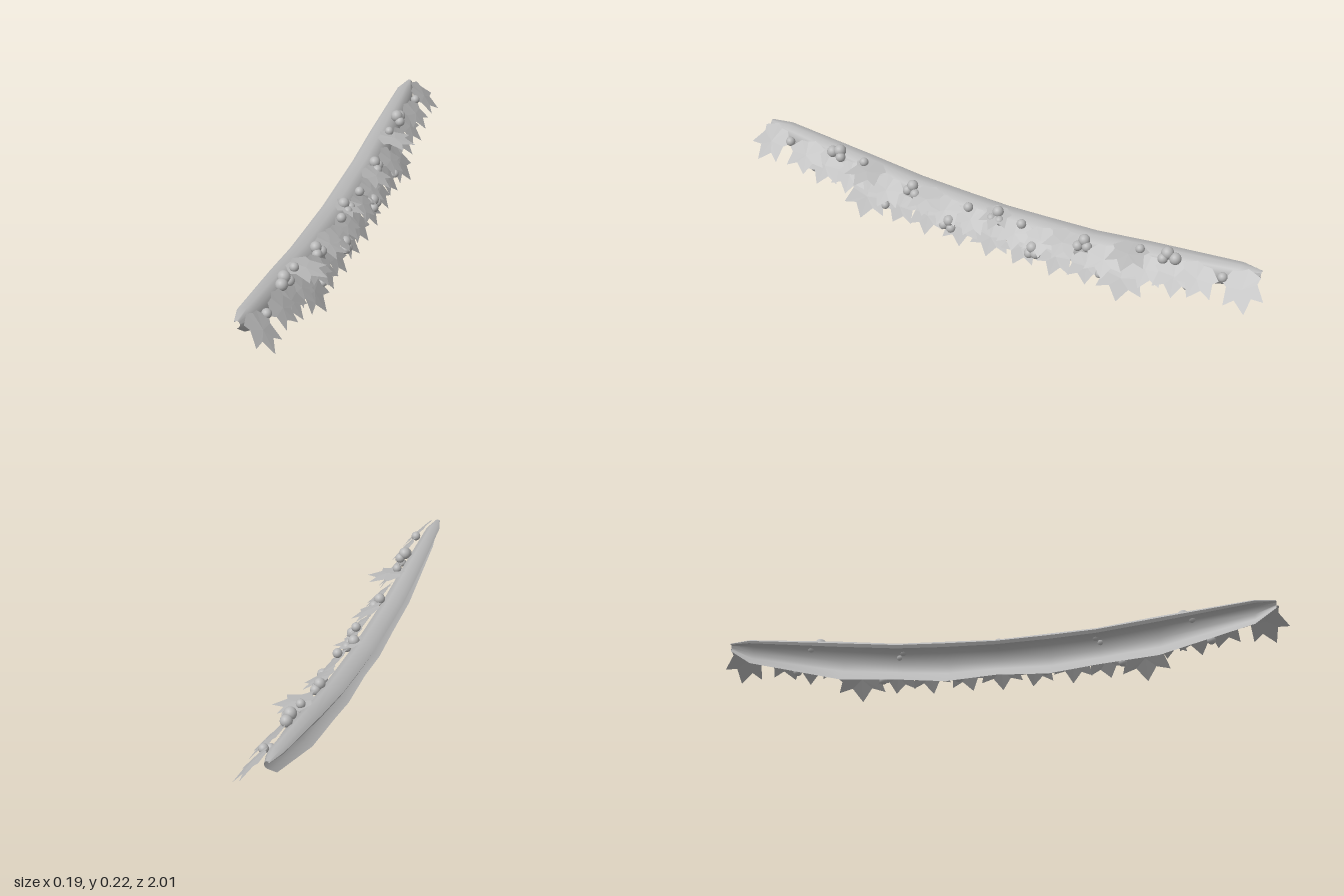
import * as THREE from 'three';
import { toCreasedNormals } from 'three/addons/utils/BufferGeometryUtils.js';

// Sagging hooked bough: an open shell, hollow at the back, lofted from cross-sections along z
function boughGeometry() {
  // z, bottom y, top y, depth scale about x = -0.055
  const half = [[0, 0.012, 0.138, 1], [0.18, 0.002, 0.146, 1], [0.35, 0.022, 0.153, 0.97],
    [0.56, 0.04, 0.18, 0.9], [0.89, 0.13, 0.216, 0.62], [0.965, 0.185, 0.212, 0.2]];
  const stations = [...half.slice(1).reverse().map(([z, ...r]) => [-z, ...r]), ...half];
  // x and relative height, from the lower edge up the front, over the top to the back lip
  const profile = [[-0.06, 0], [-0.03, 0.1], [-0.004, 0.38], [-0.002, 0.62], [-0.018, 0.88], [-0.045, 1],
    [-0.08, 0.98], [-0.098, 0.88], [-0.092, 0.8], [-0.065, 0.88]];
  const n = profile.length, pos = [], idx = [];
  for (const [z, lo, hi, s] of stations)
    for (const [x, t] of profile) pos.push(-0.055 + (x + 0.055) * s, lo + (hi - lo) * t, z);
  for (let i = 0; i < stations.length - 1; i++)
    for (let j = 0; j < n - 1; j++) {
      const a = i * n + j, b = a + 1;
      idx.push(a, b, a + n, b, b + n, a + n);
    }
  const g = new THREE.BufferGeometry();
  g.setAttribute('position', new THREE.Float32BufferAttribute(pos, 3));
  g.setIndex(idx);
  return toCreasedNormals(g, 0.9);
}

// Lobed leaf: base at the origin, tip at y = 1, nearly flat with a slight droop
function leafGeometry() {
  const side = [[0.2, 0], [0.5, 0.22], [0.4, 0.36], [0.52, 0.76], [0.22, 0.67]];
  const outline = [[0, 0.04], ...side, [0, 1], ...side.slice().reverse().map(([x, y]) => [-x, y])];
  const pos = [];
  const put = ([x, y]) => pos.push(x, y, -0.06 * Math.abs(x) - 0.12 * y * y);
  outline.forEach((p, i) => {
    put([0, 0.45]);
    put(p);
    put(outline[(i + 1) % outline.length]);
  });
  const g = new THREE.BufferGeometry();
  g.setAttribute('position', new THREE.Float32BufferAttribute(pos, 3));
  g.computeVertexNormals();
  return g;
}

export function createModel() {
  const model = new THREE.Group();
  model.name = 'garland';
  const grey = new THREE.MeshStandardMaterial({ color: 0xb8b8b8, side: THREE.DoubleSide });
  grey.name = 'light grey';

  const bough = new THREE.Mesh(boughGeometry(), grey);
  bough.name = 'bough';
  model.add(bough);

  // Calls make(z sign) for both halves, or once for a part in the middle
  const mirrored = (z, make) => (z === 0 ? [1] : [1, -1]).forEach(make);

  // Leaves: base x, y, z, droop angle, lean along z, length, width
  const leaves = [
    [-0.03, 0.213, 0.9, 0.7, 0.4, 0.15, 0.13],
    [-0.015, 0.2, 0.78, 0.7, -0.2, 0.125, 0.14],
    [-0.015, 0.185, 0.68, 0.75, 0.15, 0.13, 0.14],
    [-0.015, 0.17, 0.59, 0.7, -0.1, 0.12, 0.13],
    [-0.045, 0.18, 0.51, 0.1, 0.1, 0.14, 0.13],
    [0.0, 0.13, 0.5, 0.85, 0.05, 0.145, 0.16],
    [-0.015, 0.155, 0.42, 0.65, 0.2, 0.12, 0.13],
    [0.005, 0.115, 0.36, 0.85, 0.2, 0.11, 0.13],
    [-0.03, 0.155, 0.28, 0.4, -0.2, 0.12, 0.12],
    [0.0, 0.12, 0.26, 0.85, -0.1, 0.125, 0.13],
    [-0.015, 0.145, 0.18, 0.6, 0.2, 0.11, 0.12],
    [0.005, 0.115, 0.13, 0.85, -0.2, 0.12, 0.13],
    [-0.015, 0.14, 0.08, 0.65, 0.15, 0.11, 0.12],
    [0.0, 0.115, 0, 0.85, 0, 0.125, 0.14],
    [-0.05, 0.15, 0, 0.2, 0, 0.11, 0.1],
  ];
  const leafGeo = leafGeometry();
  for (const [x, y, z, droop, lean, length, width] of leaves)
    mirrored(z, (s) => {
      const leaf = new THREE.Mesh(leafGeo, grey);
      leaf.name = 'leaf';
      const tip = new THREE.Vector3(Math.cos(droop), -Math.sin(droop), s * lean).normalize();
      const out = new THREE.Vector3(Math.sin(droop), Math.cos(droop), 0);
      const across = new THREE.Vector3().crossVectors(tip, out).normalize();
      leaf.quaternion.setFromRotationMatrix(new THREE.Matrix4().makeBasis(across, tip, out));
      leaf.position.set(x, y, s * z);
      leaf.scale.set(width, length, length);
      model.add(leaf);
    });

  // Berries: x, y, z, radius
  const berries = [
    [-0.015, 0.2, 0.645, 0.022], [-0.012, 0.188, 0.675, 0.021], [0, 0.183, 0.635, 0.018],
    [-0.01, 0.15, 0.34, 0.02], [0, 0.132, 0.355, 0.018], [0.005, 0.128, 0.322, 0.018],
    [0.038, 0.088, 0.165, 0.02], [0.045, 0.07, 0.182, 0.018], [0.042, 0.062, 0.155, 0.018],
    [-0.02, 0.146, 0, 0.02], [0, 0.125, 0.016, 0.017],
    [0, 0.183, 0.85, 0.017], [-0.015, 0.182, 0.545, 0.016], [0.02, 0.118, 0.735, 0.015],
    [0.005, 0.145, 0.105, 0.017], [0.042, 0.07, 0.425, 0.015],
  ];
  const berryGeo = new THREE.SphereGeometry(1, 16, 12);
  for (const [x, y, z, r] of berries)
    mirrored(z, (s) => {
      const berry = new THREE.Mesh(berryGeo, grey);
      berry.name = 'berry';
      berry.position.set(x, y, s * z);
      berry.scale.setScalar(r);
      model.add(berry);
    });

  return model;
}
